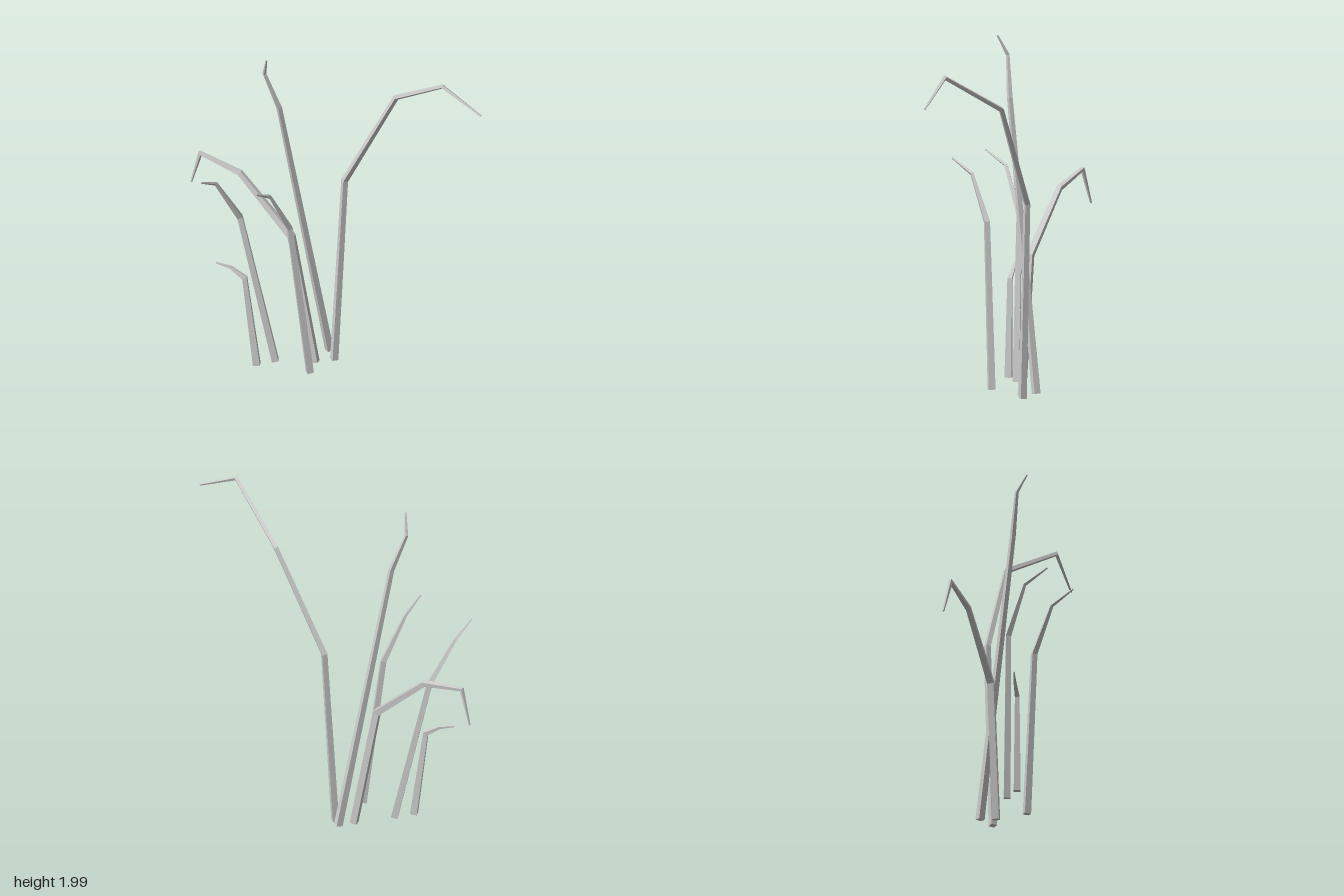
import * as THREE from 'three';

const material = new THREE.MeshStandardMaterial({ color: 0xcccccc, flatShading: true });

// Each blade: spine points [x, y, z] from the base to the tip, and the section width at each
const FOUR = [0.037, 0.029, 0.016, 0.007];
const BLADES = [
  { name: 'tallFrontBlade', widths: [0.035, 0.029, 0.023, 0.018, 0.009],
    spine: [[0.22, 0.02, -0.065], [0.28, 1.14, -0.045], [0.402, 1.74, 0.245], [0.387, 1.98, 0.645], [0.475, 1.85, 0.865]] },
  { name: 'tallStraightBlade', widths: [0.037, 0.024, 0.015, 0.007],
    spine: [[0.25, 0.04, -0.138], [-0.06, 1.66, -0.21], [-0.13, 1.885, -0.255], [-0.16, 1.998, -0.205]] },
  { name: 'backBlade', widths: [0.038, 0.036, 0.027, 0.018, 0.008],
    spine: [[0.137, 0.009, -0.13], [0.068, 0.78, -0.25], [-0.04, 1.097, -0.555], [-0.122, 1.155, -0.793], [-0.128, 0.95, -0.86]] },
  { name: 'backLeaningBlade', widths: FOUR,
    spine: [[-0.053, 0.037, -0.25], [-0.19, 0.94, -0.39], [-0.342, 1.195, -0.422], [-0.48, 1.265, -0.39]] },
  { name: 'frontLeaningBlade', widths: FOUR,
    spine: [[0.002, 0.037, -0.025], [-0.1, 0.965, -0.078], [-0.24, 1.213, -0.088], [-0.37, 1.285, -0.055]] },
  { name: 'shortBlade', widths: [0.039, 0.026, 0.015, 0.007],
    spine: [[-0.16, 0.038, -0.285], [-0.205, 0.583, -0.335], [-0.25, 0.64, -0.405], [-0.3, 0.66, -0.467]] },
];

// Tapering square bar swept along a bent spine, with mitred bends and closed ends
function bladeGeometry(spine, widths) {
  const pts = spine.map((p) => new THREE.Vector3(...p));
  const dirs = pts.slice(1).map((p, i) => p.clone().sub(pts[i]).normalize());
  const side = new THREE.Vector3(dirs[0].z, 0, -dirs[0].x).normalize();
  const positions = [];
  const index = [];
  pts.forEach((p, i) => {
    const before = dirs[Math.max(i - 1, 0)];
    const after = dirs[Math.min(i, dirs.length - 1)];
    const tangent = before.clone().add(after).normalize();
    // carry the section round each bend without twisting it
    if (i > 0) side.applyQuaternion(new THREE.Quaternion().setFromUnitVectors(dirs[Math.max(i - 2, 0)], before));
    const depth = before.clone().cross(side);
    const h = widths[i] / 2;
    for (const [a, b] of [[-1, -1], [1, -1], [1, 1], [-1, 1]]) {
      const offset = side.clone().multiplyScalar(a * h).addScaledVector(depth, b * h);
      // slide the corner along the incoming segment onto the mitre plane
      offset.addScaledVector(before, -offset.dot(tangent) / before.dot(tangent));
      positions.push(...p.clone().add(offset).toArray());
    }
  });
  for (let i = 0; i < pts.length - 1; i++) {
    for (let k = 0; k < 4; k++) {
      const a = i * 4 + k;
      const b = i * 4 + ((k + 1) % 4);
      index.push(a, b, b + 4, a, b + 4, a + 4);
    }
  }
  const e = (pts.length - 1) * 4;
  index.push(0, 2, 1, 0, 3, 2, e, e + 1, e + 2, e, e + 2, e + 3);
  const geometry = new THREE.BufferGeometry();
  geometry.setAttribute('position', new THREE.Float32BufferAttribute(positions, 3));
  geometry.setIndex(index);
  const flat = geometry.toNonIndexed();
  flat.computeVertexNormals();
  return flat;
}

export function createModel() {
  const group = new THREE.Group();
  group.name = 'grassTuft';
  for (const { name, spine, widths } of BLADES) {
    const blade = new THREE.Mesh(bladeGeometry(spine, widths), material);
    blade.name = name;
    group.add(blade);
  }
  return group;
}
